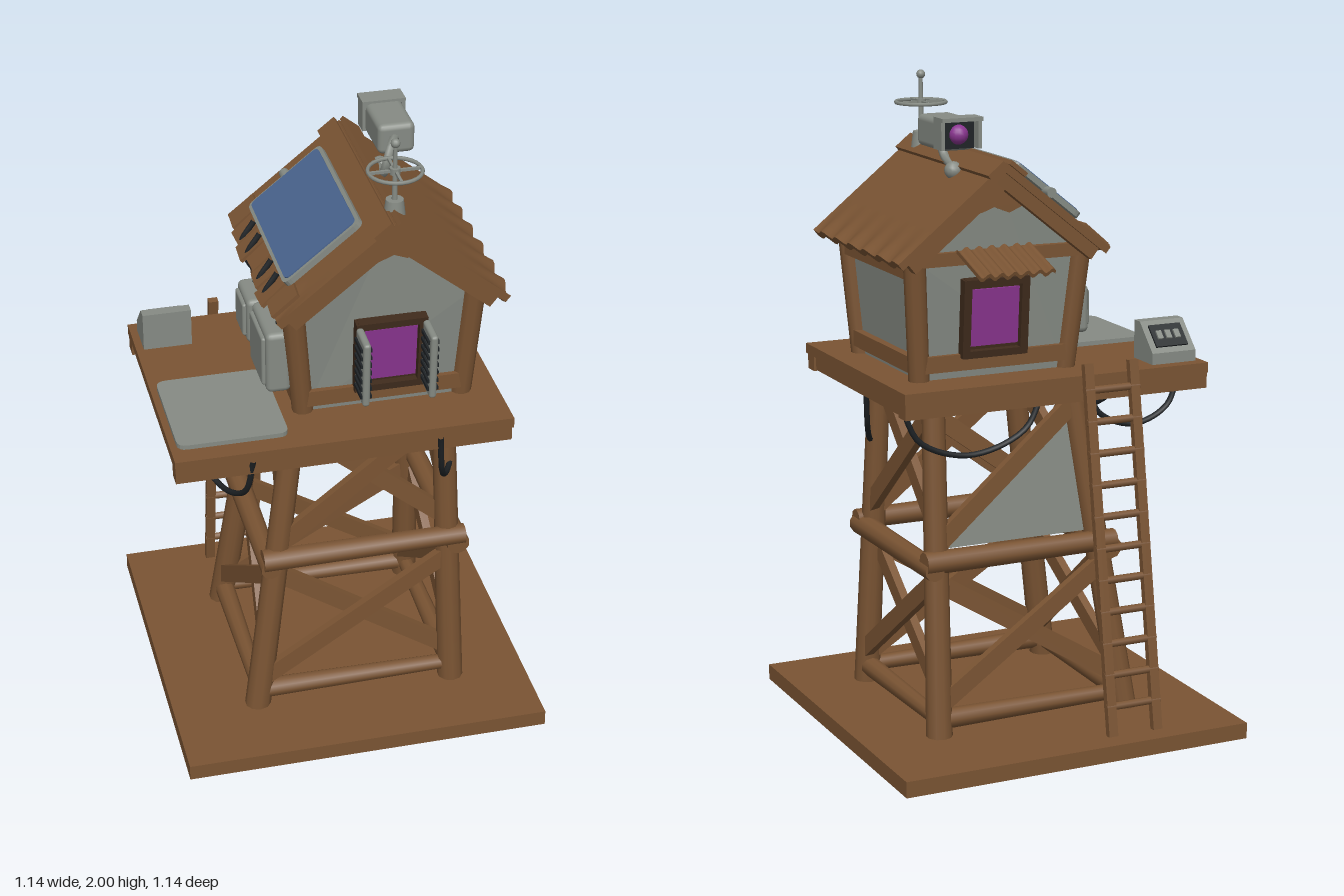
import * as THREE from 'three';
import { RoundedBoxGeometry } from 'three/addons/geometries/RoundedBoxGeometry.js';

const mat = (name, color, side = THREE.FrontSide) => {
  const m = new THREE.MeshStandardMaterial({ color, side });
  m.name = name;
  return m;
};

export function createModel() {
  const wood = mat('wood', 0x7a5433), darkWood = mat('dark wood', 0x3f2b1c);
  const metal = mat('grey metal', 0x868b84), sheet = mat('grey sheet', 0x868b84, THREE.DoubleSide);
  const black = mat('black rubber', 0x1f2326), blue = mat('solar blue', 0x4a6590);
  const purple = mat('purple glass', 0x8a3590);
  const root = new THREE.Group();
  const V = (x, y, z) => new THREE.Vector3(x, y, z);

  const add = (name, geo, m, pos = [0, 0, 0], rot = [0, 0, 0], parent = root) => {
    const mesh = new THREE.Mesh(geo, m);
    mesh.name = name;
    mesh.position.set(...pos);
    mesh.rotation.set(...rot);
    parent.add(mesh);
    return mesh;
  };
  const box = (name, w, h, d, m, pos, rot, parent) => add(name, new THREE.BoxGeometry(w, h, d), m, pos, rot, parent);
  const rbox = (name, w, h, d, r, m, pos, rot, parent) => add(name, new RoundedBoxGeometry(w, h, d, 2, r), m, pos, rot, parent);
  // round timber between two points
  const log = (name, a, b, r0, r1, m = wood, sides = 10) => {
    const dir = b.clone().sub(a);
    const mesh = add(name, new THREE.CylinderGeometry(r1, r0, dir.length(), sides), m, a.clone().add(b).multiplyScalar(0.5).toArray());
    mesh.quaternion.setFromUnitVectors(V(0, 1, 0), dir.normalize());
  };
  // flat board between two points, thickness along "up"
  const board = (name, a, b, w, t, up, m = wood) => {
    const mesh = box(name, w, t, a.distanceTo(b), m, a.clone().add(b).multiplyScalar(0.5).toArray());
    mesh.up.copy(up);
    mesh.lookAt(b);
  };
  const tube = (name, pts, r, m) =>
    add(name, new THREE.TubeGeometry(new THREE.CatmullRomCurve3(pts.map(p => V(...p))), 24, r, 7), m);
  // rounded rectangle plate lying flat, top face up
  const plate = (w, d, r, t) => {
    const s = new THREE.Shape(), x = w / 2, y = d / 2;
    s.moveTo(-x + r, -y).lineTo(x - r, -y).quadraticCurveTo(x, -y, x, -y + r).lineTo(x, y - r)
      .quadraticCurveTo(x, y, x - r, y).lineTo(-x + r, y).quadraticCurveTo(-x, y, -x, y - r)
      .lineTo(-x, -y + r).quadraticCurveTo(-x, -y, -x + r, -y);
    return new THREE.ExtrudeGeometry(s, { depth: t, bevelEnabled: false, curveSegments: 4 }).rotateX(-Math.PI / 2);
  };

  // ground slab
  box('base', 1.14, 0.05, 1.14, wood, [0, 0.025, 0]);

  // tower: splayed legs, rings and cross braces
  const leg = (sx, sz, y) => {
    const t = (y - 0.05) / 1.02;
    return V(sx < 0 ? -0.30 + 0.14 * t : 0.33 - 0.03 * t, y, sz > 0 ? 0.31 - 0.06 * t : -0.265 + 0.1 * t);
  };
  const corners = [[-1, 1], [1, 1], [1, -1], [-1, -1]];
  corners.forEach(([x, z], i) => {
    log('leg', leg(x, z, 0.02), leg(x, z, 1.08), 0.041, 0.035);
    const [u, w] = corners[(i + 1) % 4];
    const out = V((x + u) / 2, 0, (z + w) / 2);
    const p = (c, y, o) => leg(c[0], c[1], y).addScaledVector(out, o);
    const A = [x, z], B = [u, w];
    const along = p(B, 0.59, 0).sub(p(A, 0.59, 0)).normalize();
    const my = out.x ? 0.57 : 0.59;
    log('middleBeam', p(A, my, 0.025).addScaledVector(along, -0.05), p(B, my, 0.025).addScaledVector(along, 0.05), 0.036, 0.032);
    log('bottomBeam', p(A, 0.1, 0), p(B, 0.1, 0), 0.032, 0.024);
    log('topBeam', p(A, 1.06, 0), p(B, 1.06, 0), 0.03, 0.03);
    for (const [lo, hi] of [[0.15, 0.52], [0.64, 1.03]]) {
      board('crossBrace', p(A, lo, 0.012), p(B, hi, 0.012), 0.055, 0.026, out);
      board('crossBrace', p(A, hi, -0.016), p(B, lo, -0.016), 0.055, 0.026, out);
    }
  });
  // metal sheet patched onto the back of the tower
  const tri = new THREE.Shape([[-0.17, 1.03], [-0.2, 0.62], [0.28, 0.62]].map(p => new THREE.Vector2(...p)));
  add('patchSheet', new THREE.ShapeGeometry(tri).rotateX(0.09), sheet, [0, 0.003, -0.265]);

  // platform
  box('deck', 1.015, 0.032, 0.795, wood, [-0.0625, 1.114, 0.1075]);
  for (const z of [-0.262, 0.47]) box('deckBeam', 1.01, 0.05, 0.05, wood, [-0.0625, 1.075, z]);
  for (const x of [-0.16, 0.41]) box('deckJoist', 0.05, 0.045, 0.73, wood, [x, 1.076, 0.105]);
  add('deckPad', plate(0.33, 0.362, 0.03, 0.014), metal, [-0.385, 1.13, 0.263]);

  // ladder
  const rail = (x, t) => V(x, 0.05 + 1.12 * t, -0.495 + 0.185 * t);
  for (const x of [-0.294, -0.142]) board('ladderRail', rail(x, 0), rail(x, 1), 0.03, 0.022, V(0, 0.16, 1));
  for (let i = 0; i < 11; i++) {
    const t = 0.08 + i * 0.085;
    log('ladderRung', rail(-0.31, t), rail(-0.126, t), 0.012, 0.012, wood, 7);
  }

  // hut walls: gabled prism flaring upward
  const Y0 = 1.13, Y1 = 1.5, ZC = 0.085;
  const gable = new THREE.Shape([[-0.14, Y0], [0.335, Y0], [0.362, Y1], [0.095, 1.73], [-0.182, Y1]].map(p => new THREE.Vector2(...p)));
  const wallGeo = new THREE.ExtrudeGeometry(gable, { depth: 2, bevelEnabled: false });
  const wp = wallGeo.attributes.position;
  for (let i = 0; i < wp.count; i++) {
    const t = Math.min(1, (wp.getY(i) - Y0) / (Y1 - Y0));
    wp.setZ(i, ZC + (wp.getZ(i) - 1) * (0.235 + 0.03 * t));
  }
  wallGeo.computeVertexNormals();
  add('hutWalls', wallGeo, metal);

  // hut timber frame
  const post = (sx, sz, y, o = 0) => {
    const t = (y - Y0) / (Y1 - Y0);
    return V(sx < 0 ? -0.15 - 0.035 * t : 0.335 + 0.025 * t, y, ZC + sz * (0.225 + 0.03 * t + o));
  };
  corners.forEach(([x, z], i) => {
    const [u, w] = corners[(i + 1) % 4];
    log('hutPost', post(x, z, 1.12), post(x, z, 1.52), 0.032, 0.034);
    const out = V((x + u) / 2, 0, (z + w) / 2);
    board('sillBeam', post(x, z, 1.18), post(u, w, 1.18), 0.05, 0.055, out);
    if (out.x) board('wallPlate', post(x, z, 1.475), post(u, w, 1.475), 0.065, 0.05, out);
    else if (z < 0) board('tieBeam', post(x, z, 1.5), post(u, w, 1.5), 0.04, 0.055, out);
  });
  // jagged wooden gable tips
  const tip = new THREE.Shape([[0.095, 1.74], [0.2, 1.655], [0.15, 1.63], [0.11, 1.645], [0.06, 1.625], [-0.01, 1.655]].map(p => new THREE.Vector2(...p)));
  for (const z of [0.345, -0.19]) add('gableTip', new THREE.ExtrudeGeometry(tip, { depth: 0.015, bevelEnabled: false }), wood, [0, 0, z]);

  // windows front and back
  for (const s of [1, -1]) {
    const win = new THREE.Group();
    win.name = s > 0 ? 'frontWindow' : 'backWindow';
    win.position.set(0.105, 1.315, ZC + s * 0.252);
    win.rotation.set(s * 0.08, s > 0 ? 0 : Math.PI, 0);
    root.add(win);
    box('windowRecess', 0.2, 0.22, 0.016, darkWood, [0, 0, 0], [0, 0, 0], win);
    box('windowGlass', 0.16, 0.175, 0.008, purple, [0, 0, 0.011], [0, 0, 0], win);
    for (const k of [-1, 1]) {
      box('windowJamb', 0.025, 0.24, 0.035, darkWood, [k * 0.095, 0, 0.012], [0, 0, 0], win);
      box('windowRail', 0.2, 0.022, 0.035, darkWood, [0, k * 0.11, 0.012], [0, 0, 0], win);
    }
  }
  // open metal shutters
  for (const s of [-1, 1]) {
    const x = 0.105 + s * 0.1;
    rbox('shutter', 0.022, 0.215, 0.1, 0.009, metal, [x, 1.32, 0.423], [0.05, 0, 0]);
    for (let i = 0; i < 7; i++) box('shutterSlat', 0.034, 0.012, 0.075, black, [x, 1.242 + i * 0.026, 0.424]);
  }

  // corrugated slab: ripples across one axis
  const rippled = (w, t, d, amp, waves, axis, eave) => {
    const g = new THREE.BoxGeometry(w, t, d, axis === 'x' ? 40 : 6, 1, axis === 'z' ? 40 : 4);
    const p = g.attributes.position;
    for (let i = 0; i < p.count; i++) {
      const u = axis === 'x' ? p.getX(i) / w : p.getZ(i) / d;
      const k = eave ? Math.max(0, (p.getX(i) * eave / w + 0.5 - 0.8) / 0.2) : 1;
      p.setY(i, p.getY(i) + k * amp * Math.sin(u * waves * Math.PI * 2));
    }
    g.computeVertexNormals();
    return g;
  };
  add('awning', rippled(0.245, 0.012, 0.17, 0.007, 6, 'x', 0), wood, [0.122, 1.5, -0.297], [-0.32, 0, 0]);

  // roof: each slope is built in its own tilted group
  const A = 0.675, L = 0.445;
  for (const s of [-1, 1]) {
    const slope = new THREE.Group();
    slope.name = s < 0 ? 'rightRoofSlope' : 'leftRoofSlope';
    slope.position.set(0.095, 1.785, 0);
    slope.rotation.z = -s * A;
    root.add(slope);
    add('roofSheet', rippled(L, 0.024, 0.675, 0.009, 6, 'z', s), wood, [s * L / 2, -0.013, 0.095], [0, 0, 0], slope);
    for (const z of [0.405, -0.215]) box('rafter', L - 0.03, 0.04, 0.035, wood, [s * (L / 2 - 0.01), -0.045, z], [0, 0, 0], slope);
    box('ridgeBoard', 0.065, 0.014, 0.69, wood, [s * 0.04, 0.006, 0.09], [0, 0, 0], slope);
    if (s < 0) {
      for (let i = 0; i < 7; i++)
        box('eaveShingle', 0.1 + 0.02 * (i % 3), 0.012, 0.08, wood, [-0.395, 0.005, -0.18 + i * 0.09], [0, 0.05 * (i % 2 ? 1 : -1), 0.05], slope);
      add('panelFrame', plate(0.285, 0.49, 0.025, 0.018), metal, [-0.22, 0.024, 0.115], [0, 0, 0], slope);
      add('solarCells', plate(0.262, 0.468, 0.02, 0.005), blue, [-0.22, 0.041, 0.115], [0, 0, 0], slope);
      for (const z of [-0.05, 0.28]) box('panelFoot', 0.2, 0.03, 0.03, metal, [-0.22, 0.012, z], [0, 0, 0], slope);
    }
  }
  log('panelPlug', V(-0.095, 1.67, -0.16), V(-0.095, 1.67, -0.12), 0.016, 0.016, metal);

  // equipment boxes on the side wall, with their cables
  for (const [z, w, y, h] of [[0.22, 0.21, 1.305, 0.2], [-0.02, 0.15, 1.29, 0.15]]) {
    rbox('equipmentBox', 0.075, h, w, 0.018, metal, [-0.222, y, z]);
    rbox('equipmentLid', 0.02, h - 0.04, w - 0.04, 0.008, metal, [-0.26, y, z]);
    for (const k of [-0.04, 0.04])
      tube('boxCable', [[-0.21, y + h / 2 - 0.01, z + k], [-0.205, y + h / 2 + 0.05, z + k], [-0.25, 1.5, z + k], [-0.21, 1.575, z + k]], 0.009, black);
  }

  // sloped control console on the deck
  const wedge = new THREE.Shape([[-0.25, 1.13], [-0.13, 1.13], [-0.13, 1.25], [-0.165, 1.25], [-0.25, 1.165]].map(p => new THREE.Vector2(...p)));
  add('console', new THREE.ExtrudeGeometry(wedge, { depth: 0.15, bevelEnabled: false }).rotateY(-Math.PI / 2), metal, [-0.397, 0, 0]);
  box('consoleScreen', 0.11, 0.006, 0.08, black, [-0.472, 1.2095, -0.2095], [-Math.PI / 4, 0, 0]);
  for (const x of [-0.5, -0.47, -0.44]) box('consoleKey', 0.018, 0.008, 0.03, metal, [x, 1.213, -0.213], [-Math.PI / 4, 0, 0]);

  // hanging cables below the deck
  const sag = (a, b, c) => tube('hangingCable', [a, a.map((v, i) => i === 1 ? v * 0.35 + b[1] * 0.65 : v * 0.75 + b[i] * 0.25), b,
    c.map((v, i) => i === 1 ? v * 0.35 + b[1] * 0.65 : v * 0.75 + b[i] * 0.25), c], 0.009, black);
  sag([0.22, 1.1, 0.508], [0.31, 0.855, 0.3], [0.42, 1.08, 0.07]);
  sag([-0.03, 1.08, -0.235], [0.21, 0.91, -0.235], [0.43, 1.07, -0.235]);
  sag([-0.48, 1.1, 0.08], [-0.4, 0.885, 0.29], [-0.34, 1.1, 0.5]);
  sag([-0.49, 1.08, -0.24], [-0.34, 0.95, -0.24], [-0.18, 1.08, -0.24]);

  // roof camera looking backwards
  rbox('cameraBody', 0.112, 0.095, 0.18, 0.018, metal, [0.195, 1.855, -0.03]);
  box('cameraFace', 0.1, 0.08, 0.008, black, [0.195, 1.855, -0.12]);
  box('cameraHoodTop', 0.132, 0.012, 0.065, metal, [0.195, 1.904, -0.125]);
  for (const s of [-1, 1]) box('cameraHoodSide', 0.012, 0.09, 0.055, metal, [0.195 + s * 0.06, 1.86, -0.12]);
  add('cameraLens', new THREE.SphereGeometry(0.03, 14, 10), purple, [0.195, 1.857, -0.122]);
  tube('cameraArm', [[0.19, 1.86, 0.05], [0.17, 1.855, 0.09], [0.15, 1.81, 0.113], [0.145, 1.765, 0.09], [0.15, 1.745, 0.03], [0.16, 1.74, -0.02]], 0.014, metal);
  add('cameraMount', new THREE.SphereGeometry(0.028, 12, 8), metal, [0.165, 1.735, -0.02]);

  // wheel antenna on the ridge
  const ax = 0.117, az = 0.33;
  add('antennaBase', new THREE.CylinderGeometry(0.026, 0.032, 0.05, 14), metal, [ax, 1.785, az]);
  log('antennaMast', V(ax, 1.78, az), V(ax, 1.98, az), 0.009, 0.006, metal);
  add('antennaBall', new THREE.SphereGeometry(0.014, 12, 8), metal, [ax, 1.986, az]);
  add('antennaRing', new THREE.TorusGeometry(0.078, 0.006, 6, 28).rotateX(Math.PI / 2), metal, [ax, 1.9, az]);
  add('antennaHub', new THREE.CylinderGeometry(0.016, 0.016, 0.02, 12), metal, [ax, 1.9, az]);
  for (const r of [0, Math.PI / 2]) box('antennaSpoke', 0.156, 0.008, 0.008, metal, [ax, 1.9, az], [0, r, 0]);

  return root;
}
